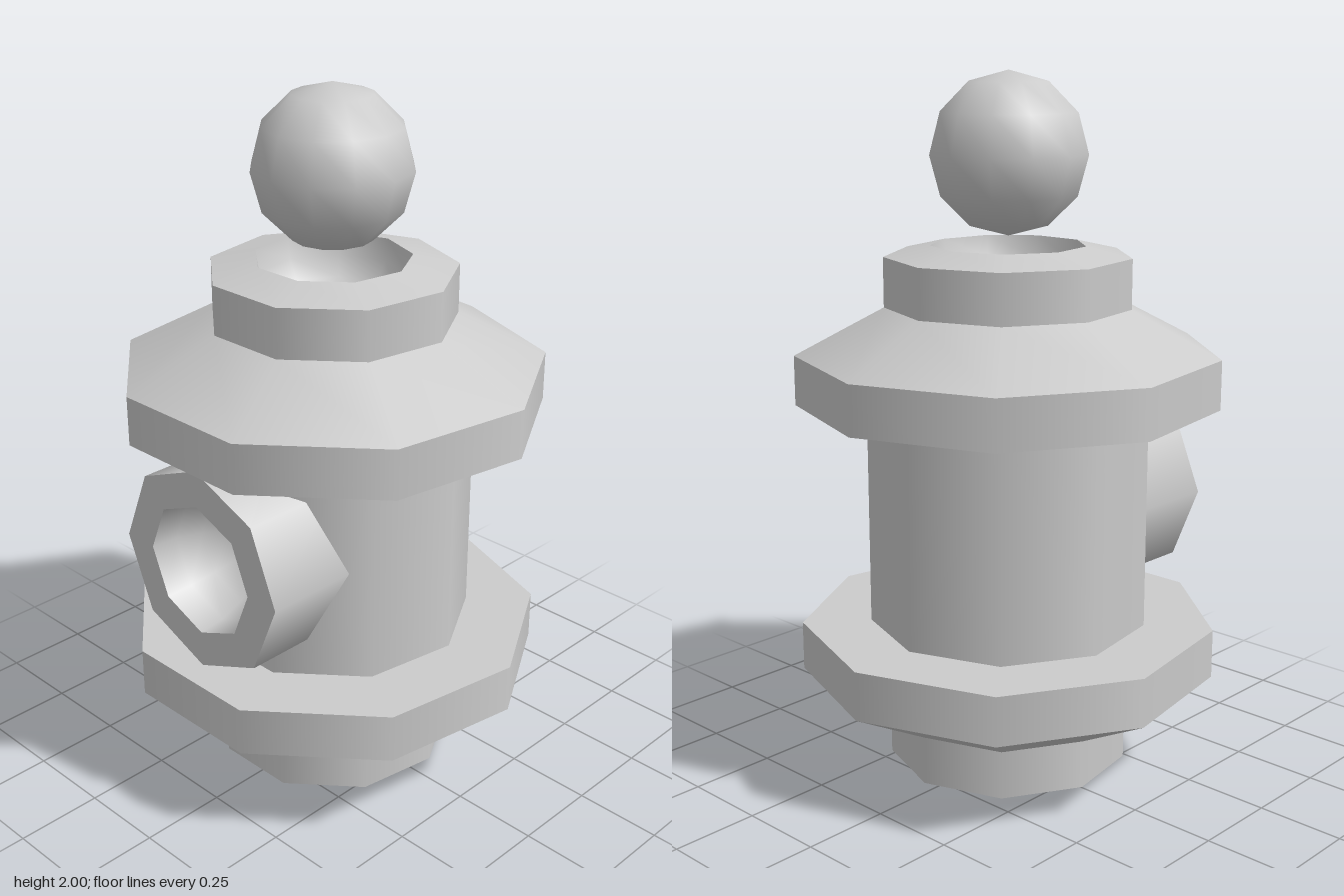
import * as THREE from 'three';
import { mergeGeometries } from 'three/addons/utils/BufferGeometryUtils.js';

const material = new THREE.MeshStandardMaterial({ color: 0xcccccc });
const SIDES = 9;

// Each run of [radius, height] points is smooth; edges between runs stay sharp.
function turned(runs, sides, start = Math.PI / 2, sweep = Math.PI * 2) {
  return mergeGeometries(runs.map((run) => new THREE.LatheGeometry(
    run.map(([r, y]) => new THREE.Vector2(r, y)), sides, start, sweep)));
}

// Splits a profile into sharp-edged pairs of points.
const sharp = (points) => points.slice(1).map((p, i) => [points[i], p]);

// Rounded recess from its rim down to its deepest point.
function bowl(radius, rimY, depth, steps = 5) {
  return Array.from({ length: steps + 1 }, (_, i) => {
    const a = (i / steps) * Math.PI / 2;
    return [i === steps ? 0 : radius * Math.cos(a), rimY - depth * Math.sin(a)];
  });
}

export function createModel() {
  const model = new THREE.Group();
  function add(name, geometry, x = 0, y = 0) {
    const mesh = new THREE.Mesh(geometry, material);
    mesh.name = name;
    mesh.position.set(x, y, 0);
    model.add(mesh);
    return mesh;
  }
  const cx = -0.018;

  // Lower and upper collars: neck, cone and wide flange around a recess
  add('lowerCollar', turned([
    bowl(0.218, 0, -0.2).reverse(),
    ...sharp([[0.218, 0], [0.347, 0.03], [0.347, 0.17], [0.598, 0.305], [0.598, 0.445], [0.4, 0.445]]),
  ], SIDES), cx);
  add('upperCollar', turned([
    ...sharp([[0.4, 1.09], [0.598, 1.09], [0.598, 1.23], [0.347, 1.36], [0.347, 1.5], [0.218, 1.53]]),
    bowl(0.218, 1.53, 0.2),
  ], SIDES), cx);

  // Body wall, with one panel left open behind the side port
  const low = 0.53, high = 1.006, panel = (Math.PI * 2) / SIDES;
  add('body', mergeGeometries([
    turned([[[0.4, 0.445], [0.4, low]], [[0.4, high], [0.4, 1.09]]], SIDES),
    turned([[[0.4, low], [0.4, high]]], SIDES - 1, Math.PI * 1.5 + panel / 2, Math.PI * 2 - panel),
  ]), cx);

  // Side port: octagonal spout pointing to -x with a deep recess
  const port = add('sidePort', turned([
    ...sharp([[0.298, 0], [0.298, 0.3], [0.193, 0.3]]),
    bowl(0.193, 0.3, 0.25),
  ], 8), -0.23, 0.768);
  port.rotation.z = Math.PI / 2;

  // Ball above the top recess
  add('ball', new THREE.SphereGeometry(0.223, 12, 6), cx, 1.777);

  return model;
}
